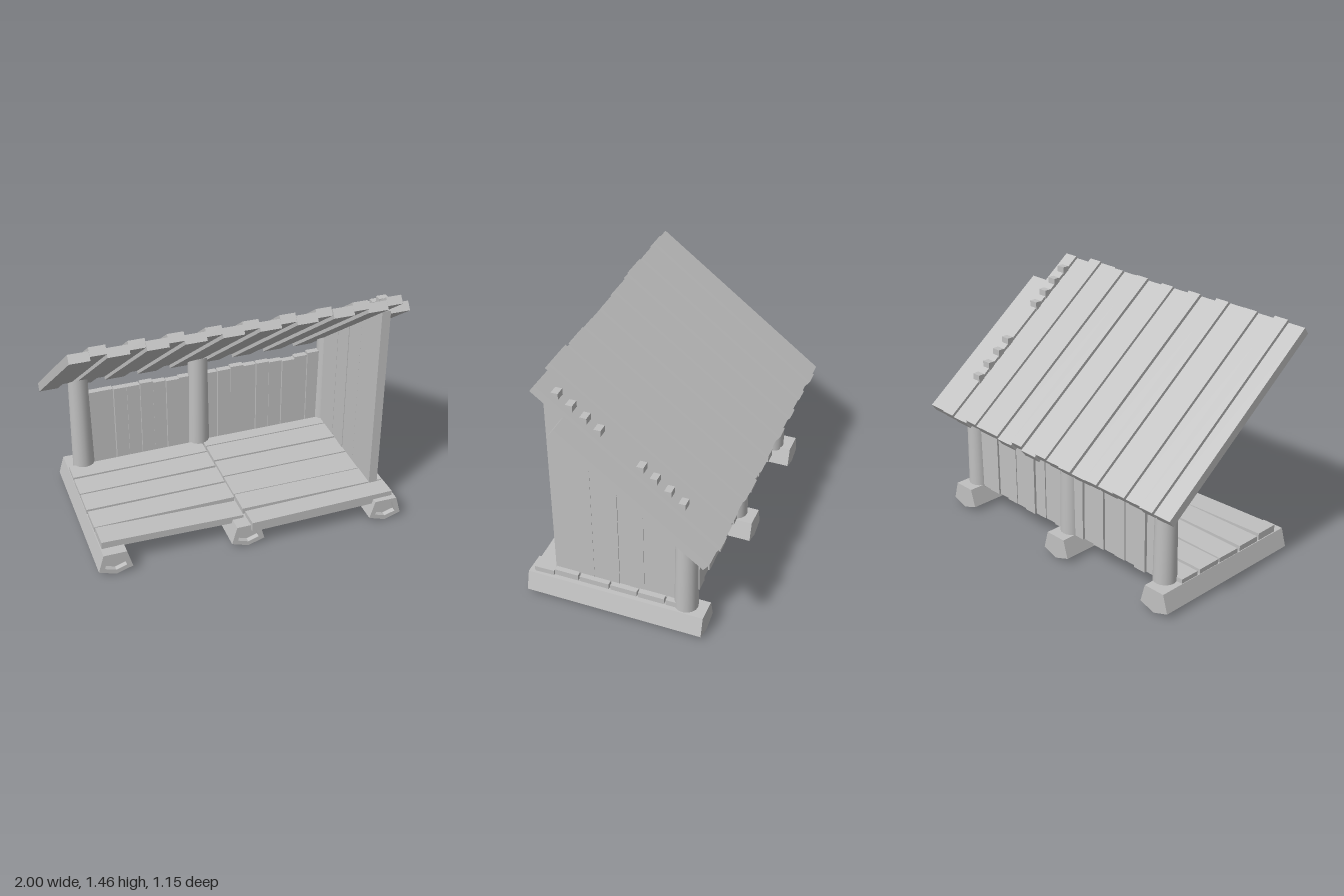
import * as THREE from 'three';
import { toCreasedNormals } from 'three/addons/utils/BufferGeometryUtils.js';

const wood = new THREE.MeshStandardMaterial({ color: 0xc0c0c0 });
wood.name = 'grey wood';

// Underside of the sloping roof at depth z
const roofUnder = z => 1.4 + 0.75 * (z - 0.507);

let seed = 7;
function jitter(size) {
  seed = (seed * 16807) % 2147483647;
  return (seed / 2147483647 - 0.5) * 2 * size;
}

function add(parent, name, geometry) {
  const mesh = new THREE.Mesh(geometry, wood);
  mesh.name = name;
  parent.add(mesh);
  return mesh;
}

// Box given by its limits on each axis
function slab(x0, x1, y0, y1, z0, z1) {
  return new THREE.BoxGeometry(x1 - x0, y1 - y0, z1 - z0)
    .translate((x0 + x1) / 2, (y0 + y1) / 2, (z0 + z1) / 2);
}

// Lift the upper vertices of an upright part to meet the roof
function cutToRoof(geometry) {
  const p = geometry.attributes.position;
  for (let i = 0; i < p.count; i++) {
    if (p.getY(i) > 0.4) p.setY(i, roofUnder(p.getZ(i)));
  }
  return toCreasedNormals(geometry, 0.6);
}

function group(parent, name) {
  const g = new THREE.Group();
  g.name = name;
  parent.add(g);
  return g;
}

export function createModel() {
  const model = new THREE.Group();
  model.name = 'lean-to shelter';

  // Five-sided ground beams with a hollowed front end
  const profile = [[-0.1, 0.035], [0, 0], [0.1, 0.032], [0.068, 0.145], [-0.068, 0.145]];
  const outline = scale => profile.map(([x, y]) =>
    new THREE.Vector2(x * scale, 0.08 + (y - 0.08) * scale));
  const beams = group(model, 'ground beams');
  [[-0.83, 0.53], [-0.04, 0.54], [0.815, 0.58]].forEach(([x, front]) => {
    const solid = new THREE.Shape(outline(1));
    const rim = new THREE.Shape(outline(1));
    rim.holes.push(new THREE.Path(outline(0.64)));
    const depth = front - 0.03 + 0.485;
    add(beams, 'beam', new THREE.ExtrudeGeometry(solid, { depth, bevelEnabled: false })
      .translate(x, 0, -0.485));
    add(beams, 'beam end rim', new THREE.ExtrudeGeometry(rim, { depth: 0.03, bevelEnabled: false })
      .translate(x, 0, front - 0.03));
  });

  // Floorboards in two bays
  const floor = group(model, 'floor');
  const rightEdges = [0.56, 0.43, 0.275, 0.085, -0.085, -0.25, -0.34];
  const leftEdges = [0.47, 0.31, 0.14, -0.03, -0.2, -0.34];
  for (let i = 0; i < rightEdges.length - 1; i++) {
    const board = add(floor, 'right floorboard', slab(-0.45, 0.44, -0.03, 0.032,
      rightEdges[i + 1] + 0.006, rightEdges[i] - 0.004));
    board.position.set(0.415, 0.148 + jitter(0.003), 0);
    if (i === 0) board.rotation.y = 0.02;
  }
  for (let i = 0; i < leftEdges.length - 1; i++) {
    const board = add(floor, 'left floorboard', slab(-0.43, 0.42, -0.022, 0.022,
      leftEdges[i + 1] + 0.008, leftEdges[i] - 0.008));
    board.position.set(-0.465, 0.155 + jitter(0.004), 0);
    board.rotation.z = i === 0 ? -0.03 : jitter(0.012);
    board.rotation.y = jitter(0.015);
  }

  // Round posts cut to the roof slope
  const posts = group(model, 'posts');
  [-0.795, -0.048, 0.808].forEach(x => {
    add(posts, 'post', cutToRoof(new THREE.CylinderGeometry(0.06, 0.068, 0.6, 16)
      .translate(x, 0.43, -0.362)));
  });

  // Uneven upright boards of the back wall
  const backWall = group(model, 'back wall');
  [[-0.75, -0.09], [-0.01, 0.76]].forEach(([x0, x1]) => {
    const count = Math.round((x1 - x0) / 0.083);
    const w = (x1 - x0) / count;
    for (let i = 0; i < count; i++) {
      const z = -0.365 + jitter(0.009);
      add(backWall, 'back board', slab(x0 + i * w, x0 + (i + 1) * w - 0.003,
        0.14, 0.66 + jitter(0.014), z - 0.02, z + 0.02));
    }
  });

  // Side wall boards with sloping tops
  const sideWall = group(model, 'side wall');
  const sideEdges = [0.43, 0.19, 0.035, -0.03, -0.115, -0.275, -0.32, -0.37];
  for (let i = 0; i < sideEdges.length - 1; i++) {
    const x = 0.797 + (i === 0 ? 0 : jitter(0.005));
    add(sideWall, 'side board', cutToRoof(slab(x - 0.026, x + 0.026,
      0.165, 0.8, sideEdges[i + 1] + 0.001, sideEdges[i])));
  }

  // Sloping roof: low boards alternating with raised ones
  const roof = group(model, 'roof');
  roof.position.set(0, 1.065, -0.055);
  roof.rotation.x = -Math.atan(0.75);
  const pitch = 1.87 / 18;
  for (let i = 0; i < 18; i++) {
    const x = -1 + (i + 0.5) * pitch;
    const raised = i % 2 === 1;
    const half = raised ? 0.045 : 0.06;
    const top = raised ? 0 : -0.018 + jitter(0.003);
    add(roof, raised ? 'raised roof board' : 'low roof board', slab(
      Math.max(-1, x - half), Math.min(0.87, x + half),
      raised ? -0.05 : -0.07, top, -0.645 + jitter(0.008), 0.645 + jitter(0.01)));
  }
  add(roof, 'short roof board', slab(0.872, 1, -0.072, -0.015, -0.64, 0.42));

  // Square pegs poking through the roof above the side wall
  const pegs = group(model, 'roof pegs');
  [-0.34, -0.26, -0.18, -0.105, 0.13, 0.207, 0.285, 0.362].forEach(z => {
    const top = 1.128 + 0.75 * z;
    add(pegs, 'peg', slab(0.77, 0.826, top - 0.08, top, z - 0.02, z + 0.02));
  });

  return model;
}
